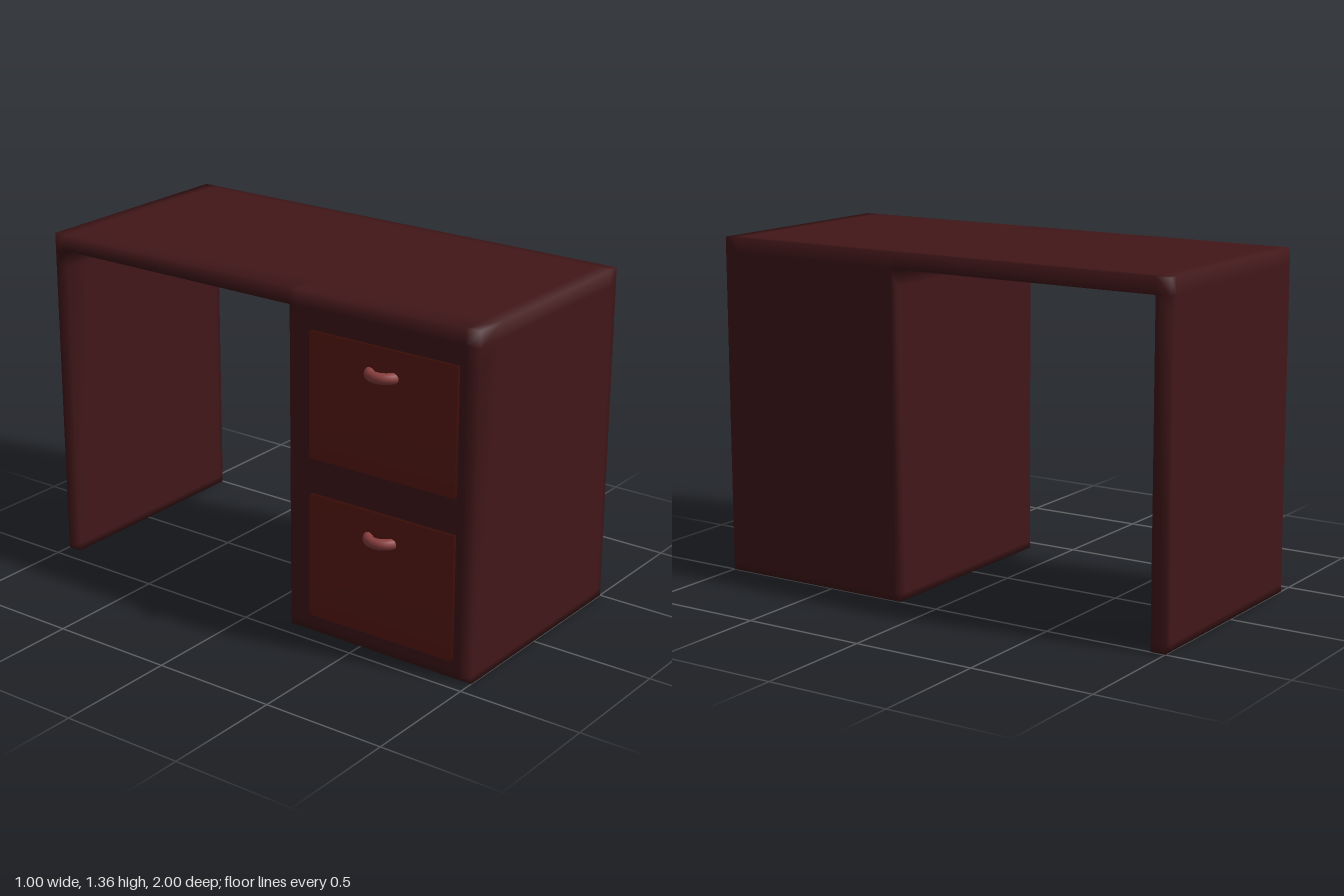
import * as THREE from 'three';

const wood = new THREE.MeshStandardMaterial({ color: 0x421719 });
const panel = new THREE.MeshStandardMaterial({ color: 0x5e1b14 });
const pull = new THREE.MeshStandardMaterial({ color: 0x8c4040 });

// Smooth-shaded block solid: fills cells of a 3D lattice where solid(j, k) holds
// (j = y cell, k = z cell) and emits only the outer faces, with shared vertices.
function latticeGeometry(xs, ys, zs, solid) {
  const axes = [xs, ys, zs];
  const points = [], index = [], ids = new Map();
  const vertex = (c) => {
    const key = c.join();
    if (!ids.has(key)) {
      ids.set(key, ids.size);
      points.push(xs[c[0]], ys[c[1]], zs[c[2]]);
    }
    return ids.get(key);
  };
  const filled = (c) =>
    c.every((v, a) => v >= 0 && v < axes[a].length - 1) && solid(c[1], c[2]);
  for (let i = 0; i < xs.length - 1; i++)
    for (let j = 0; j < ys.length - 1; j++)
      for (let k = 0; k < zs.length - 1; k++) {
        const cell = [i, j, k];
        if (!filled(cell)) continue;
        for (let a = 0; a < 3; a++)
          for (const side of [0, 1]) {
            const next = [...cell];
            next[a] += side ? 1 : -1;
            if (filled(next)) continue;
            const u = (a + 1) % 3, v = (a + 2) % 3;
            const [p, q, r, s] = [[0, 0], [1, 0], [1, 1], [0, 1]].map(([du, dv]) => {
              const c = [...cell];
              c[a] += side;
              c[u] += du;
              c[v] += dv;
              return vertex(c);
            });
            if (side) index.push(p, q, r, p, r, s);
            else index.push(p, r, q, p, s, r);
          }
      }
  const geometry = new THREE.BufferGeometry();
  geometry.setAttribute('position', new THREE.Float32BufferAttribute(points, 3));
  geometry.setIndex(index);
  geometry.computeVertexNormals();
  return geometry;
}

function addMesh(parent, name, geometry, material) {
  const mesh = new THREE.Mesh(geometry, material);
  mesh.name = name;
  parent.add(mesh);
  return mesh;
}

export function createModel() {
  const desk = new THREE.Group();
  desk.name = 'desk';

  // One-piece body: cabinet at the front, side panel at the back, top across both
  const xs = [-0.43, -0.29, 0.46, 0.5];
  const ys = [0, 0.03, 1.23, 1.295, 1.36];
  const zs = [-1, -0.94, 0.17, 0.2, 0.94, 1];
  const isWood = (j, k) => j === 3 || k !== 1;
  addMesh(desk, 'deskBody', latticeGeometry(xs, ys, zs, isWood), wood);

  // Two drawers with half-ring handles
  [0.325, 0.97].forEach((y, n) => {
    const drawer = new THREE.Group();
    drawer.name = n ? 'upperDrawer' : 'lowerDrawer';
    drawer.position.set(-0.43, y, 0.597);

    const front = latticeGeometry([-0.022, 0.01], [-0.248, 0.248], [-0.322, 0.322], () => true);
    addMesh(drawer, 'drawerFront', front, panel);

    const ring = new THREE.TorusGeometry(0.058, 0.021, 16, 32, Math.PI);
    ring.rotateX(Math.PI / 2).rotateY(-Math.PI / 2);
    addMesh(drawer, 'drawerHandle', ring, pull).position.set(0.004, 0.148, 0.003);
    desk.add(drawer);
  });

  return desk;
}
